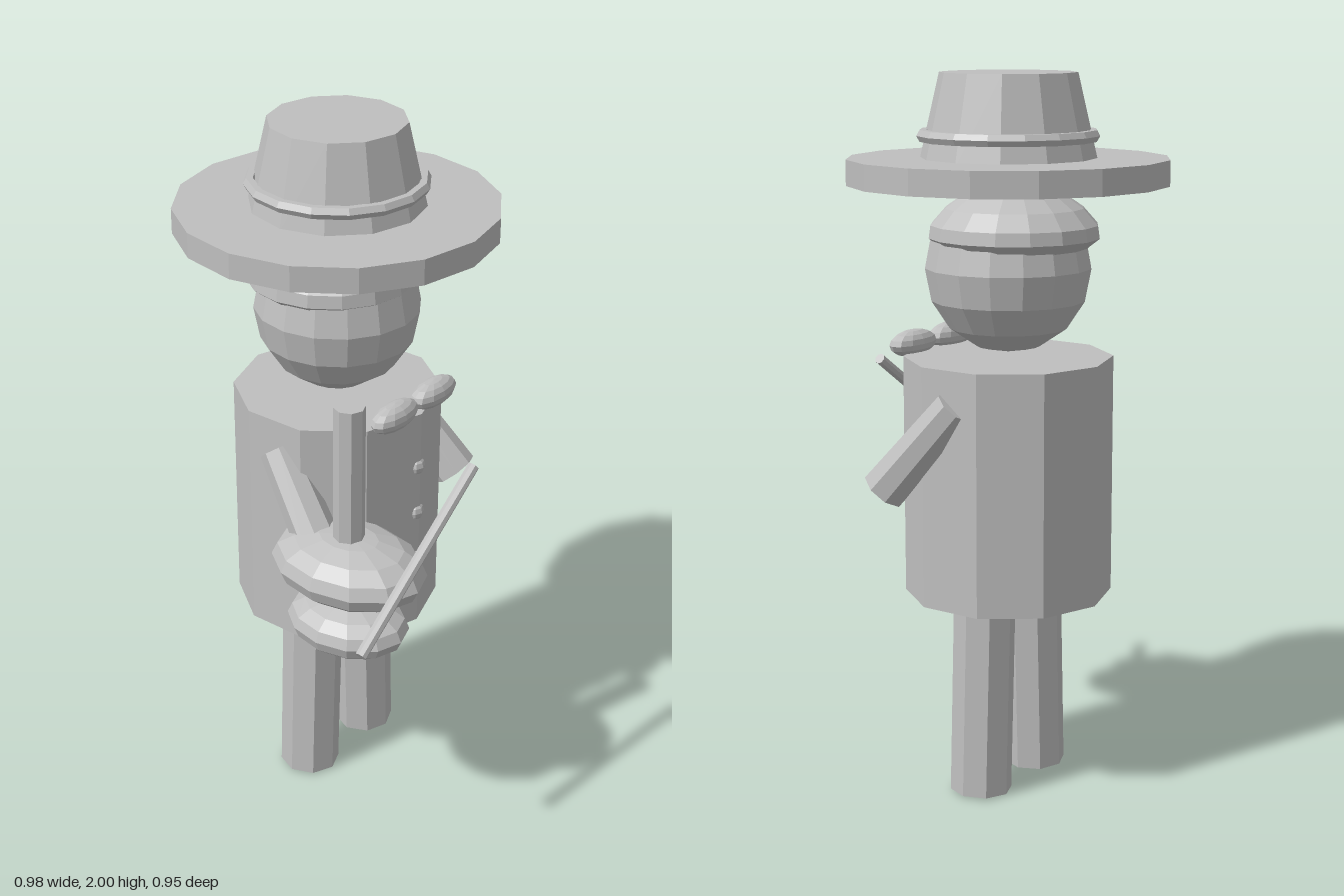
import * as THREE from 'three';

const CX = 0.05, CZ = -0.037; // axis of the figure

export function createModel() {
  const model = new THREE.Group();
  const grey = new THREE.MeshStandardMaterial({ color: 0xbfbfbf });
  grey.name = 'plain grey';
  grey.flatShading = true;

  function add(name, geometry, x, y, z) {
    const mesh = new THREE.Mesh(geometry, grey);
    mesh.name = name;
    mesh.position.set(x, y, z);
    model.add(mesh);
    return mesh;
  }

  // tapered rod between two points
  function rod(name, from, to, rFrom, rTo, sides) {
    const a = new THREE.Vector3(...from), b = new THREE.Vector3(...to);
    const dir = b.clone().sub(a);
    const mid = a.clone().add(b).multiplyScalar(0.5);
    const mesh = add(name, new THREE.CylinderGeometry(rTo, rFrom, dir.length(), sides), mid.x, mid.y, mid.z);
    mesh.quaternion.setFromUnitVectors(new THREE.Vector3(0, 1, 0), dir.normalize());
    return mesh;
  }

  function ellipsoid(name, rx, ry, rz, x, y, z, w = 12, h = 8) {
    return add(name, new THREE.SphereGeometry(1, w, h).scale(rx, ry, rz), x, y, z);
  }

  // coat
  add('coat', new THREE.CylinderGeometry(0.29, 0.29, 0.67, 10), CX, 0.895, CZ);

  // legs and arms, mirrored about the figure's axis
  for (const [side, s] of [['left', 1], ['right', -1]]) {
    rod(side + 'Leg', [CX + s * 0.135, 0.004, CZ], [CX + s * 0.113, 0.6, CZ], 0.087, 0.087, 8);
    rod(side + 'Arm', [CX + s * 0.307, 0.885, 0.16], [CX + s * 0.252, 1.13, -0.04], 0.066, 0.055, 8);
    ellipsoid(side + 'BowTieWing', 0.093, 0.038, 0.041, CX + s * 0.088, 1.253, 0.227, 12, 8);
  }

  // buttons
  for (const y of [0.775, 0.92, 1.065]) ellipsoid('button', 0.028, 0.028, 0.028, CX, y, 0.235, 8, 6);

  // head
  ellipsoid('head', 0.23, 0.235, 0.23, CX, 1.477, CZ, 16, 8);

  // hair cap, set slightly back on the head
  const hair = [[0, 1.525], [0.19, 1.525], [0.235, 1.56], [0.23, 1.595], [0.19, 1.64], [0.11, 1.695], [0, 1.71]]
    .map(([r, y]) => new THREE.Vector2(r, y));
  add('hair', new THREE.LatheGeometry(hair, 16), CX, 0, -0.057);

  // hat
  add('hatBrim', new THREE.CylinderGeometry(0.44, 0.44, 0.07, 16), CX, 1.738, CZ);
  add('hatCrown', new THREE.CylinderGeometry(0.187, 0.243, 0.24, 12), CX, 1.88, CZ);
  add('hatBand', new THREE.TorusGeometry(0.232, 0.018, 6, 16).rotateX(Math.PI / 2), CX, 1.833, CZ);

  // fiddle and bow
  ellipsoid('fiddleUpperBody', 0.17, 0.093, 0.23, -0.247, 0.892, 0.235);
  ellipsoid('fiddleLowerBody', 0.141, 0.078, 0.18, -0.249, 0.712, 0.235);
  rod('fiddleNeck', [-0.247, 0.87, 0.235], [-0.247, 1.372, 0.235], 0.043, 0.043, 8);
  rod('fiddleBow', [-0.484, 0.818, 0.458], [0.002, 1.162, 0.458], 0.016, 0.016, 8);

  return model;
}
